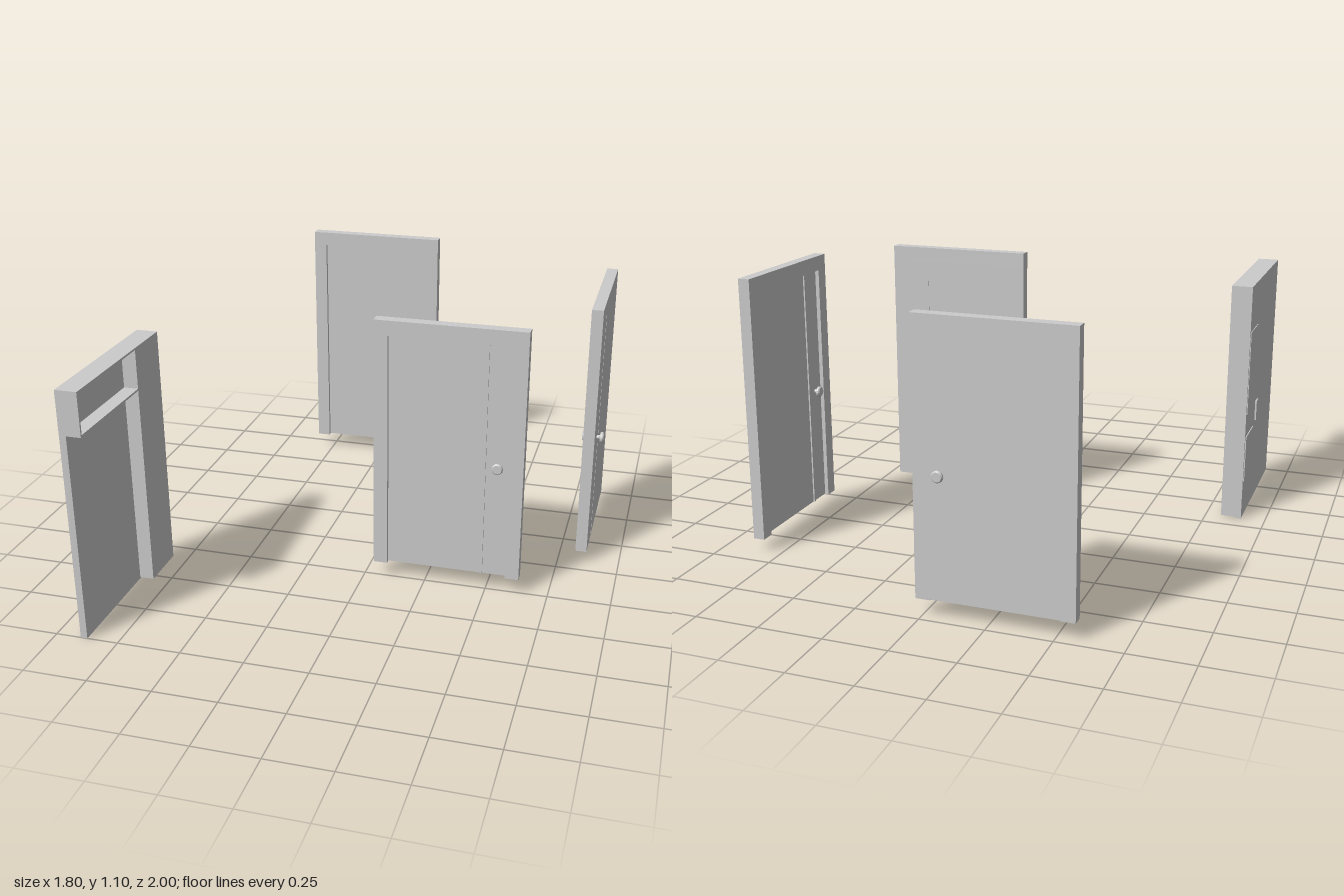
import * as THREE from 'three';

const grey = new THREE.MeshStandardMaterial({ color: 0xcccccc });

// Box given by its min and max corners
function box(parent, name, x0, x1, y0, y1, z0, z1) {
  const mesh = new THREE.Mesh(new THREE.BoxGeometry(x1 - x0, y1 - y0, z1 - z0), grey);
  mesh.position.set((x0 + x1) / 2, (y0 + y1) / 2, (z0 + z1) / 2);
  mesh.name = name;
  parent.add(mesh);
  return mesh;
}

// Round knob on a neck, pointing along +z from the middle of the door leaf
function knob() {
  const profile = [[0.009, 0], [0.009, 0.027], [0.02, 0.029], [0.022, 0.032], [0.022, 0.039], [0.018, 0.0435], [0, 0.0435]];
  const geometry = new THREE.LatheGeometry(profile.map(([r, y]) => new THREE.Vector2(r, y)), 16);
  geometry.rotateX(Math.PI / 2);
  const material = grey.clone();
  material.flatShading = true;
  return new THREE.Mesh(geometry, material);
}

// Framed door facing +z, leaf flush with the back of the frame
function door(name, bottom, top, knobY, hasStrip) {
  const g = new THREE.Group();
  g.name = name;
  const w = 0.297, d = 0.023, jamb = 0.056, inner = w - jamb, lintel = top - 0.06;
  const leafFront = -d + 0.03, leafMiddle = -d + 0.015;
  for (const s of [-1, 1]) {
    const mid = s * (w - jamb / 2);
    box(g, s < 0 ? 'rightJamb' : 'leftJamb', mid - jamb / 2, mid + jamb / 2, bottom, lintel, -d, d);
  }
  box(g, 'lintel', -w, w, lintel, top, -d, d);
  box(g, 'leaf', -inner, inner, bottom + 0.003, lintel, -d, leafFront);
  // Narrow upright strip beside the knob
  if (hasStrip) box(g, 'strip', 0.137, 0.148, bottom + 0.003, lintel, -d - 0.001, leafFront + 0.006);
  for (const s of [1, -1]) {
    const k = knob();
    k.name = s > 0 ? 'frontKnob' : 'backKnob';
    k.position.set(0.196, knobY, leafMiddle);
    if (s < 0) k.rotation.y = Math.PI;
    g.add(k);
  }
  return g;
}

// Cabinet side: back panel, tall column and an open compartment facing +x
function cabinet() {
  const g = new THREE.Group();
  g.name = 'cabinet';
  const back = -0.9, face = -0.815, inside = -0.873, t = 0.008;
  box(g, 'backPanel', back, inside, 0, 1, 0.335, 1);
  box(g, 'column', inside, face, 0.005, 1, 0.335, 0.535);
  box(g, 'compartmentTop', inside, face, 1 - t, 1, 0.535, 1);
  box(g, 'compartmentFloor', inside, face, 0.828, 0.828 + t, 0.535, 1);
  box(g, 'compartmentEnd', inside, face, 0.828 + t, 1 - t, 1 - t, 1);
  // Thin plates and a handle on the outer side
  box(g, 'lowerPlate', back - 0.004, back, 0.165, 0.36, 0.345, 0.51);
  box(g, 'upperPlate', back - 0.003, back, 0.46, 0.81, 0.345, 0.51);
  box(g, 'handle', back - 0.007, back, 0.375, 0.46, 0.557, 0.595);
  return g;
}

export function createModel() {
  const model = new THREE.Group();
  model.name = 'doorsAndCabinet';

  const backDoor = door('backDoor', 0.065, 1.1, 0.54, false);
  backDoor.position.set(-0.274, 0, -0.949);

  const frontDoor = door('frontDoor', 0.065, 1.1, 0.54, true);
  frontDoor.position.set(0.337, 0, 0.24);

  const sideDoor = door('sideDoor', 0.05, 1.1, 0.53, true);
  sideDoor.position.set(0.844, 0, -0.363);
  sideDoor.rotation.y = -Math.PI / 2;

  model.add(backDoor, frontDoor, sideDoor, cabinet());
  return model;
}
